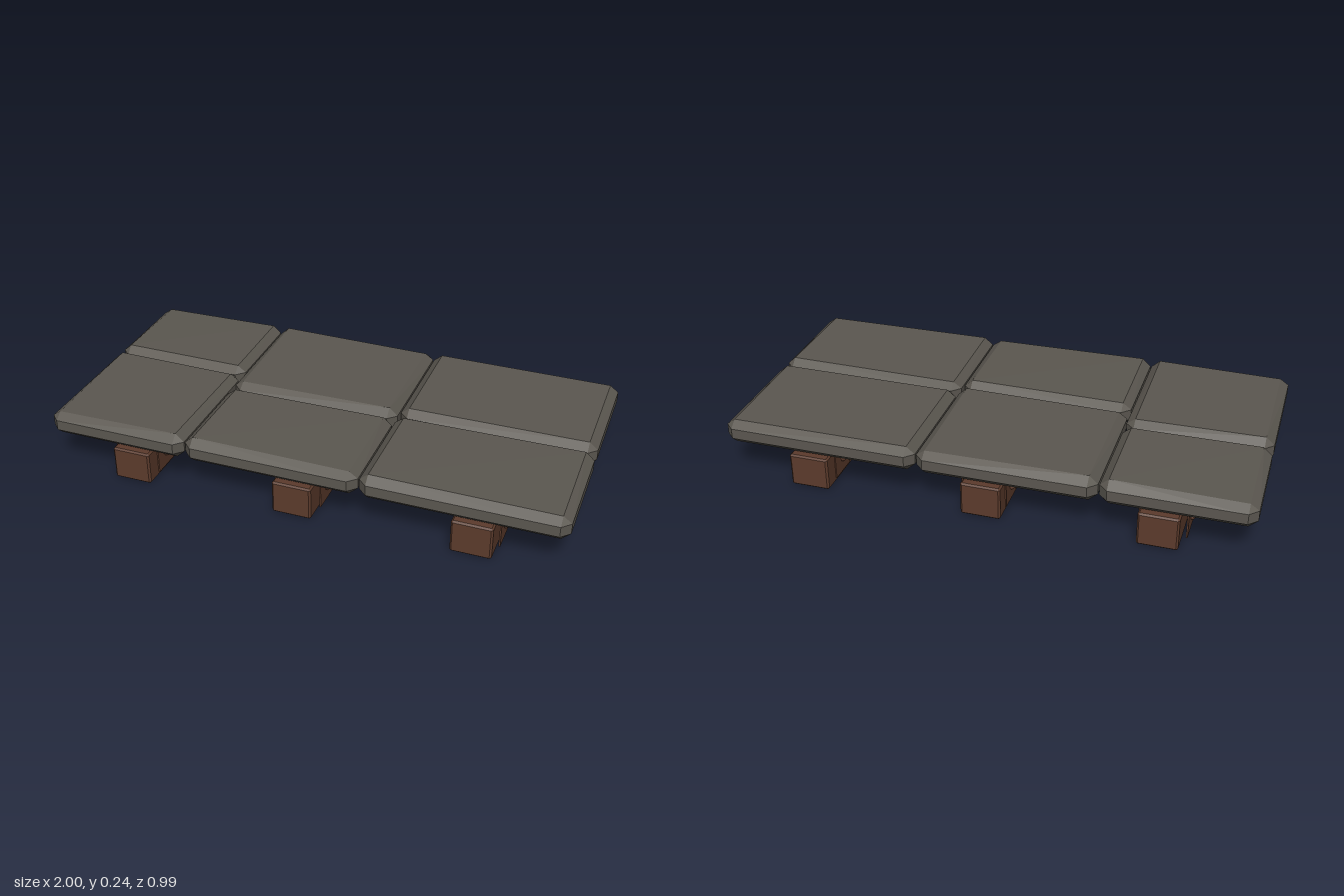
import * as THREE from 'three';
import { ConvexGeometry } from 'three/addons/geometries/ConvexGeometry.js';

// Block with chamfered edges and corners; lift(x, z) varies the top surface
function chamferedBlock([x0, x1], [y0, y1], [z0, z1], c, lift = () => 0) {
  const points = [];
  for (const [x, sx] of [[x0, 1], [x1, -1]]) {
    for (const [z, sz] of [[z0, 1], [z1, -1]]) {
      const ix = x + sx * c, iz = z + sz * c;
      points.push(new THREE.Vector3(ix, y0, iz), new THREE.Vector3(ix, y1 + lift(ix, iz), iz));
      for (const y of [y0 + c * 0.9, y1 - c * 0.9]) {
        points.push(new THREE.Vector3(x, y, iz), new THREE.Vector3(ix, y, z));
      }
    }
  }
  return new ConvexGeometry(points);
}

export function createModel() {
  const group = new THREE.Group();
  const stone = new THREE.MeshStandardMaterial({ name: 'darkStone', color: 0x5b5750 });
  const wood = new THREE.MeshStandardMaterial({ name: 'brownWood', color: 0x5c3b2c });

  const add = (name, geometry, material, parent = group) => {
    const mesh = new THREE.Mesh(geometry, material);
    mesh.name = name;
    parent.add(mesh);
    return mesh;
  };

  // Paving slabs: three columns, each split at its own depth
  const columns = [
    { x: [-1, -0.445], split: -0.058 },
    { x: [-0.44, 0.238], split: 0.048 },
    { x: [0.243, 1], split: 0.02 },
  ];
  columns.forEach(({ x, split }, i) => {
    const tilt = (px, pz) => 0.004 * Math.sin(px * 5 + pz * 7 + i) - 0.003;
    add('backSlab', chamferedBlock(x, [0.137, 0.237], [-0.495, split - 0.003], 0.033, tilt), stone);
    add('frontSlab', chamferedBlock(x, [0.137, 0.237], [split + 0.003, 0.495], 0.033, tilt), stone);
  });

  // Support beams with bolted plates on both sides
  const beams = [
    { x: [-0.738, -0.588], plates: [-0.757, -0.586] },
    { x: [-0.087, 0.065], plates: [-0.088, 0.077] },
    { x: [0.588, 0.74], plates: [0.587, 0.752] },
  ];
  const plateGeometry = new THREE.BoxGeometry(0.006, 0.11, 0.12);
  const boltGeometry = new THREE.SphereGeometry(0.013, 10, 8);
  for (const { x, plates } of beams) {
    const support = new THREE.Group();
    support.name = 'support';
    group.add(support);
    add('beam', chamferedBlock(x, [0, 0.131], [-0.487, 0.487], 0.007), wood, support);
    plates.forEach((px, side) => {
      for (const z of [-0.36, 0.36]) {
        add('plate', plateGeometry, wood, support).position.set(px, 0.07, z);
        add('bolt', boltGeometry, wood, support).position.set(px + (side ? 0.005 : -0.005), 0.07, z);
      }
    });
  }
  return group;
}
